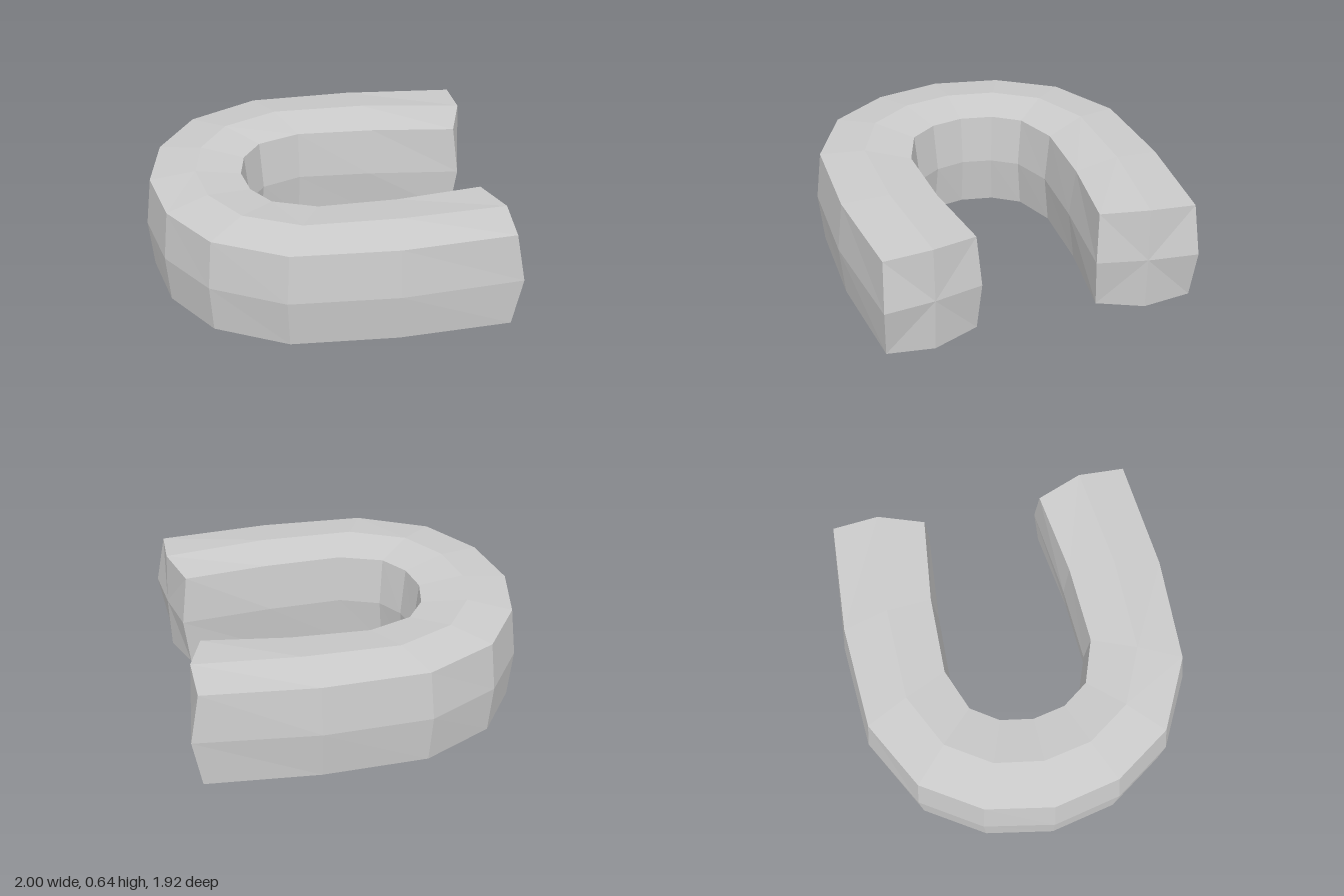
import * as THREE from 'three';

const MID = 0.318; // half height, the plane of symmetry

// Plan curves [x, z] from the middle of the bend to the tip of one arm
const OUTER_MID = [[-1, 0], [-0.92, 0.395], [-0.7, 0.725], [-0.3, 0.935], [0.31, 0.96], [1, 0.89]];
const OUTER_RIM = [[-0.97, 0], [-0.895, 0.38], [-0.68, 0.705], [-0.285, 0.907], [0.31, 0.93], [0.948, 0.875]];
const RIDGE = [[-0.71, 0], [-0.66, 0.275], [-0.495, 0.52], [-0.18, 0.667], [0.36, 0.67], [0.955, 0.607]];
const INNER_RIM = [[-0.45, 0], [-0.415, 0.185], [-0.31, 0.335], [-0.065, 0.425], [0.385, 0.41], [0.87, 0.347]];
const INNER_MID = [[-0.42, 0], [-0.385, 0.17], [-0.29, 0.31], [-0.06, 0.397], [0.37, 0.38], [0.905, 0.327]];

// Eight-sided cross-section at station k, on side s (+1 or -1 in z)
function section(k, s) {
  const tip = k === 5;
  const rim = tip ? 0.286 : 0.282;
  const ridge = tip ? 0.308 : 0.318;
  const at = ([x, z], h) => new THREE.Vector3(x, MID + h, z * s);
  return [
    at(OUTER_MID[k], 0), at(OUTER_RIM[k], rim), at(RIDGE[k], ridge), at(INNER_RIM[k], rim),
    at(INNER_MID[k], 0), at(INNER_RIM[k], -rim), at(RIDGE[k], -ridge), at(OUTER_RIM[k], -rim),
  ];
}

export function createModel() {
  // Stations run from the tip at +z, round the bend, to the tip at -z
  const rings = [];
  for (let j = -5; j <= 5; j++) rings.push(section(Math.abs(j), j < 0 ? 1 : -1));

  const pos = [];
  const tri = (...pts) => pts.forEach((p) => pos.push(p.x, p.y, p.z));

  // Curved body
  for (let j = 0; j < rings.length - 1; j++) {
    for (let i = 0; i < 8; i++) {
      const n = (i + 1) % 8;
      const a = rings[j][i], b = rings[j][n], c = rings[j + 1][i], d = rings[j + 1][n];
      tri(a, b, d);
      tri(a, d, c);
    }
  }

  // Faceted tips, fanned from a central point
  const first = rings[0], last = rings[rings.length - 1];
  const tipFront = new THREE.Vector3(0.968, MID, 0.605);
  const tipBack = new THREE.Vector3(0.968, MID, -0.605);
  for (let i = 0; i < 8; i++) {
    const n = (i + 1) % 8;
    tri(tipFront, first[n], first[i]);
    tri(tipBack, last[i], last[n]);
  }

  const geometry = new THREE.BufferGeometry();
  geometry.setAttribute('position', new THREE.Float32BufferAttribute(pos, 3));
  geometry.computeVertexNormals();

  const body = new THREE.Mesh(
    geometry,
    new THREE.MeshStandardMaterial({ color: 0xcccccc, flatShading: true })
  );
  body.name = 'horseshoeBody';

  const group = new THREE.Group();
  group.name = 'horseshoe';
  group.add(body);
  return group;
}
